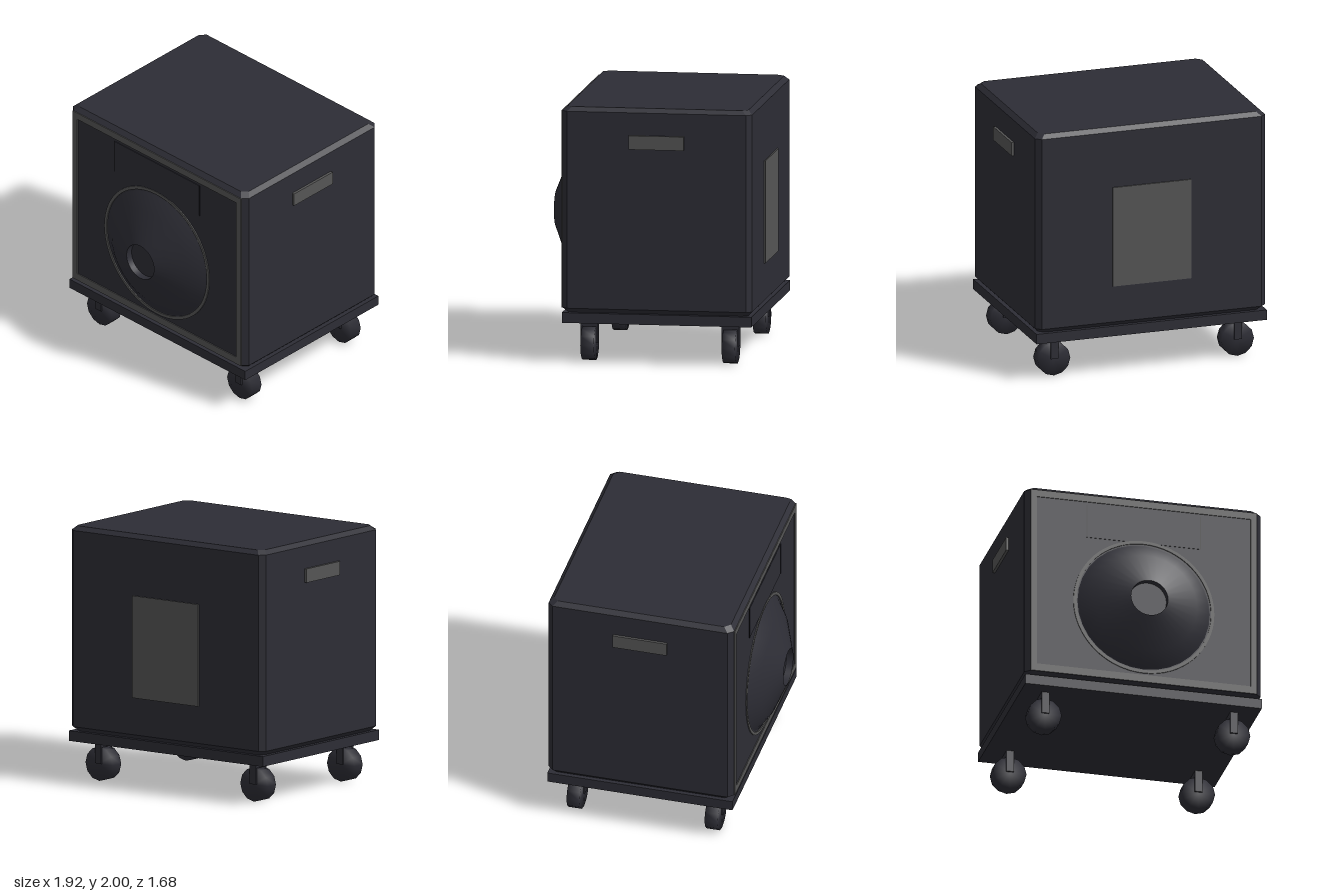
import * as THREE from 'three';
import { ConvexGeometry } from 'three/addons/geometries/ConvexGeometry.js';
import { mergeVertices } from 'three/addons/utils/BufferGeometryUtils.js';

export function createModel() {
  const model = new THREE.Group();
  model.name = 'speakerCabinet';

  const body = new THREE.MeshStandardMaterial({ color: 0x2d2d35 });
  body.name = 'charcoal';
  const trim = new THREE.MeshStandardMaterial({ color: 0x555555 });
  trim.name = 'grey';
  const groove = new THREE.MeshStandardMaterial({ color: 0x17171b });
  groove.name = 'dark groove';

  function add(parent, name, geometry, material, x = 0, y = 0, z = 0) {
    const mesh = new THREE.Mesh(geometry, material);
    mesh.name = name;
    mesh.position.set(x, y, z);
    parent.add(mesh);
    return mesh;
  }

  // Box given by its limits on each axis
  function block(parent, name, material, [x0, x1], [y0, y1], [z0, z1]) {
    return add(parent, name, new THREE.BoxGeometry(x1 - x0, y1 - y0, z1 - z0), material,
      (x0 + x1) / 2, (y0 + y1) / 2, (z0 + z1) / 2);
  }

  // Cabinet with chamfered edges: corner-cut outlines at four heights
  const points = [];
  for (const [y, inset] of [[0.395, 0.035], [0.43, 0], [1.967, 0], [2, 0.035]]) {
    const w = 0.94 - inset, d = 0.741 - inset, cut = 0.042;
    for (const sx of [-1, 1]) {
      for (const sz of [-1, 1]) {
        points.push(new THREE.Vector3(sx * (w - cut), y, sz * d - 0.089));
        points.push(new THREE.Vector3(sx * w, y, sz * (d - cut) - 0.089));
      }
    }
  }
  add(model, 'cabinet', new ConvexGeometry(points), body);

  // Base board
  block(model, 'baseBoard', body, [-0.94, 0.94], [0.315, 0.395], [-0.83, 0.65]);

  // Front frame
  const frame = new THREE.Shape();
  frame.moveTo(-0.9, 0.43).lineTo(0.9, 0.43).lineTo(0.9, 1.967).lineTo(-0.9, 1.967).closePath();
  const opening = new THREE.Path();
  opening.moveTo(-0.85, 0.49).lineTo(-0.85, 1.91).lineTo(0.85, 1.91).lineTo(0.85, 0.49).closePath();
  frame.holes.push(opening);
  add(model, 'frontFrame', new THREE.ExtrudeGeometry(frame, { depth: 0.008, bevelEnabled: false }), trim, 0, 0, 0.651);

  // Upper front plate with a groove at each end
  block(model, 'frontPlate', body, [-0.45, 0.45], [1.61, 1.885], [0.65, 0.656]);
  for (const s of [-1, 1]) {
    add(model, 'plateGroove', new THREE.BoxGeometry(0.009, 0.275, 0.006), groove, s * 0.452, 1.747, 0.654);
  }

  // Speaker ring
  const ring = new THREE.Shape().absarc(0, 0, 0.56, 0, Math.PI * 2, false);
  ring.holes.push(new THREE.Path().absarc(0, 0, 0.535, 0, Math.PI * 2, true));
  add(model, 'speakerRing', new THREE.ExtrudeGeometry(ring, { depth: 0.009, bevelEnabled: false, curveSegments: 32 }),
    trim, 0, 1.065, 0.651);

  // Speaker cone, bulging forward, with a sunken cap
  const lathe = (profile) => new THREE.LatheGeometry(
    profile.map(([r, h]) => new THREE.Vector2(r, h)), 32).rotateX(Math.PI / 2);
  add(model, 'speakerCone', lathe([[0.54, 0.645], [0.515, 0.658], [0.405, 0.735], [0.147, 0.84]]), body, 0, 1.065, 0);
  add(model, 'capWall', lathe([[0.147, 0.84], [0.147, 0.785]]), body, 0, 1.065, 0);
  add(model, 'speakerCap', new THREE.CircleGeometry(0.147, 32), body, 0, 1.065, 0.785);

  // Side handles and back panel
  for (const s of [-1, 1]) {
    add(model, 'sideHandle', new THREE.BoxGeometry(0.03, 0.108, 0.43), trim, s * 0.945, 1.737, -0.088);
  }
  block(model, 'backPanel', trim, [-0.32, 0.32], [0.72, 1.52], [-0.84, -0.82]);

  // Casters: softly shaded wheel between two fork plates
  const wheelShape = new THREE.CylinderGeometry(0.133, 0.133, 0.105, 12).rotateX(Math.PI / 2);
  wheelShape.deleteAttribute('normal');
  wheelShape.deleteAttribute('uv');
  const wheel = mergeVertices(wheelShape);
  wheel.computeVertexNormals();
  for (const x of [-0.75, 0.75]) {
    for (const z of [-0.64, 0.463]) {
      const caster = new THREE.Group();
      caster.name = 'caster';
      caster.position.set(x, 0, z);
      model.add(caster);
      add(caster, 'wheel', wheel, body, 0, 0.135, 0);
      block(caster, 'forkTop', body, [-0.03, 0.03], [0.267, 0.317], [-0.068, 0.068]);
      for (const s of [-1, 1]) {
        add(caster, 'forkPlate', new THREE.BoxGeometry(0.06, 0.177, 0.014), body, 0, 0.2285, s * 0.061);
      }
    }
  }
  return model;
}
